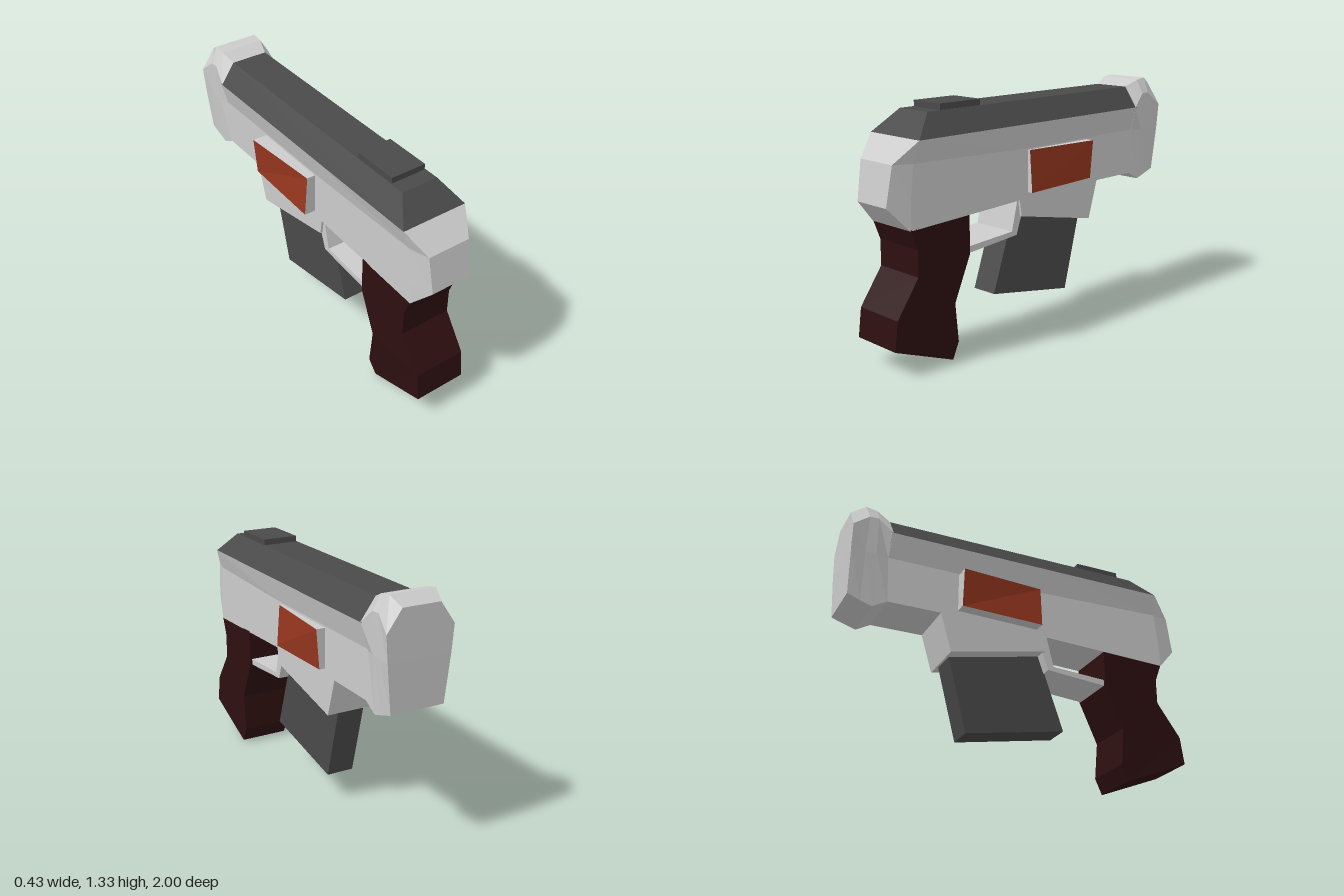
import * as THREE from 'three';

const mat = (color) => new THREE.MeshStandardMaterial({ color, flatShading: true });
const grey = mat(0xcccccc), dark = mat(0x4a4a4a), wood = mat(0x2d0f10), red = mat(0x96361f);

// Joins mirrored cross-sections, ordered from +z to -z; each lists [x, y, z] of the +x half, top to bottom.
function loft(sections) {
  const n = sections[0].length;
  const rings = sections.map((s) => [...s, ...s.slice().reverse().map(([x, y, z]) => [-x, y, z])]);
  const pos = [];
  const quad = (a, b, c, d) => [a, b, c, a, c, d].forEach((p) => pos.push(...p));
  for (let i = 0; i + 1 < rings.length; i++) {
    for (let k = 0; k < 2 * n; k++) {
      const m = (k + 1) % (2 * n);
      quad(rings[i][k], rings[i][m], rings[i + 1][m], rings[i + 1][k]);
    }
  }
  const first = rings[0], last = rings[rings.length - 1];
  for (let k = 0; k + 1 < n; k++) {
    const l = 2 * n - 1 - k;
    quad(first[k], first[l], first[l - 1], first[k + 1]);
    quad(last[k], last[k + 1], last[l - 1], last[l]);
  }
  const g = new THREE.BufferGeometry();
  g.setAttribute('position', new THREE.Float32BufferAttribute(pos, 3));
  g.computeVertexNormals();
  return g;
}

// Extrudes a side outline of [z, y] points to both sides of the centre plane.
function slab(outline, half) {
  const shape = new THREE.Shape(outline.map(([z, y]) => new THREE.Vector2(z, y)));
  return new THREE.ExtrudeGeometry(shape, { depth: 2 * half, bevelEnabled: false })
    .translate(0, 0, -half).rotateY(-Math.PI / 2);
}

// Moves every vertex by a rule.
function reshape(g, rule) {
  const p = g.attributes.position, v = new THREE.Vector3();
  for (let i = 0; i < p.count; i++) {
    rule(v.fromBufferAttribute(p, i));
    p.setXYZ(i, v.x, v.y, v.z);
  }
  g.computeVertexNormals();
  return g;
}

export function createModel() {
  const model = new THREE.Group();
  const body = new THREE.Group();
  body.name = 'blaster';
  body.position.x = 0.017;
  model.add(body);
  const add = (name, geometry, material) => {
    const mesh = new THREE.Mesh(geometry, material);
    mesh.name = name;
    body.add(mesh);
  };

  // Frame with a bevelled nose
  const section = (z, bottom) => [[0.187, 1.17, z], [0.148, 1.035, z], [0.148, 0.86, z], [0.148, bottom, z]];
  add('frame', loft([
    [[0.187, 1.17, 0.85], [0.122, 1.06, 0.965], [0.112, 0.855, 1], [0.148, 0.73, 0.885]],
    [[0.187, 1.17, 0.845], [0.148, 1.055, 0.86], [0.148, 0.86, 0.88], [0.148, 0.73, 0.88]],
    section(0.14, 0.76),
    section(-0.48, 0.775),
    section(-0.79, 0.775),
  ]), grey);

  // Flared end block
  add('endBlock', loft([
    [[0.105, 1.285, -0.78], [0.187, 1.17, -0.78], [0.148, 1.03, -0.79], [0.148, 0.775, -0.78]],
    [[0.127, 1.32, -0.86], [0.172, 1.245, -0.86], [0.165, 1.03, -0.86], [0.148, 0.73, -0.86]],
    [[0.127, 1.33, -0.925], [0.172, 1.245, -0.91], [0.168, 1.03, -0.92], [0.148, 0.75, -0.925]],
    [[0.105, 1.285, -1], [0.187, 1.17, -1], [0.176, 1.03, -1], [0.15, 0.775, -0.995]],
  ]), grey);

  // Slide and sight
  add('slide', loft([
    [[0.105, 1.285, 0.73], [0.187, 1.17, 0.85]],
    [[0.105, 1.285, -0.79], [0.187, 1.17, -0.79]],
  ]), dark);
  add('sight', new THREE.BoxGeometry(0.2, 0.05, 0.265).translate(0, 1.292, 0.513), dark);

  // Grip, with the lower inner corner drawn in on one side
  const grip = slab([[0.885, 0.735], [0.845, 0.63], [0.845, 0.49], [0.98, 0.3], [1, 0.145],
    [0.63, 0], [0.59, 0.09], [0.61, 0.3], [0.505, 0.54], [0.505, 0.75]], 0.148);
  add('grip', reshape(grip, (v) => {
    if (v.x < 0 && v.y < 0.05) v.x += 0.016;
  }), wood);

  // Guard, magazine well and magazine
  add('guard', slab([[0.51, 0.575], [0.51, 0.54], [0.155, 0.57], [0.12, 0.67],
    [0.14, 0.78], [0.15, 0.76], [0.19, 0.595]], 0.135), grey);
  add('magazineWell', slab([[0.145, 0.77], [0.13, 0.67], [-0.42, 0.56], [-0.485, 0.78]], 0.148), grey);
  add('magazine', slab([[0.12, 0.69], [0.27, 0.25], [-0.3, 0.15], [-0.41, 0.58]], 0.077), dark);

  // Side panels: slanted grey blocks with a red outer face
  for (const side of [1, -1]) {
    const shift = side > 0 ? 0 : 0.034;
    const panel = reshape(new THREE.BoxGeometry(0.1, 0.225, 0.475), (v) => {
      const outer = v.x * side > 0, top = v.y > 0, front = v.z > 0;
      v.x = side * (outer ? (top ? (front ? 0.163 : 0.198) : 0.18) + shift : 0.1);
      v.y = top ? 1.025 : (front ? 0.795 : 0.808);
      v.z = front ? 0.083 : -0.387;
    });
    const faces = Array(6).fill(grey);
    faces[side > 0 ? 0 : 1] = red;
    add(side > 0 ? 'leftPanel' : 'rightPanel', panel, faces);
  }
  return model;
}
